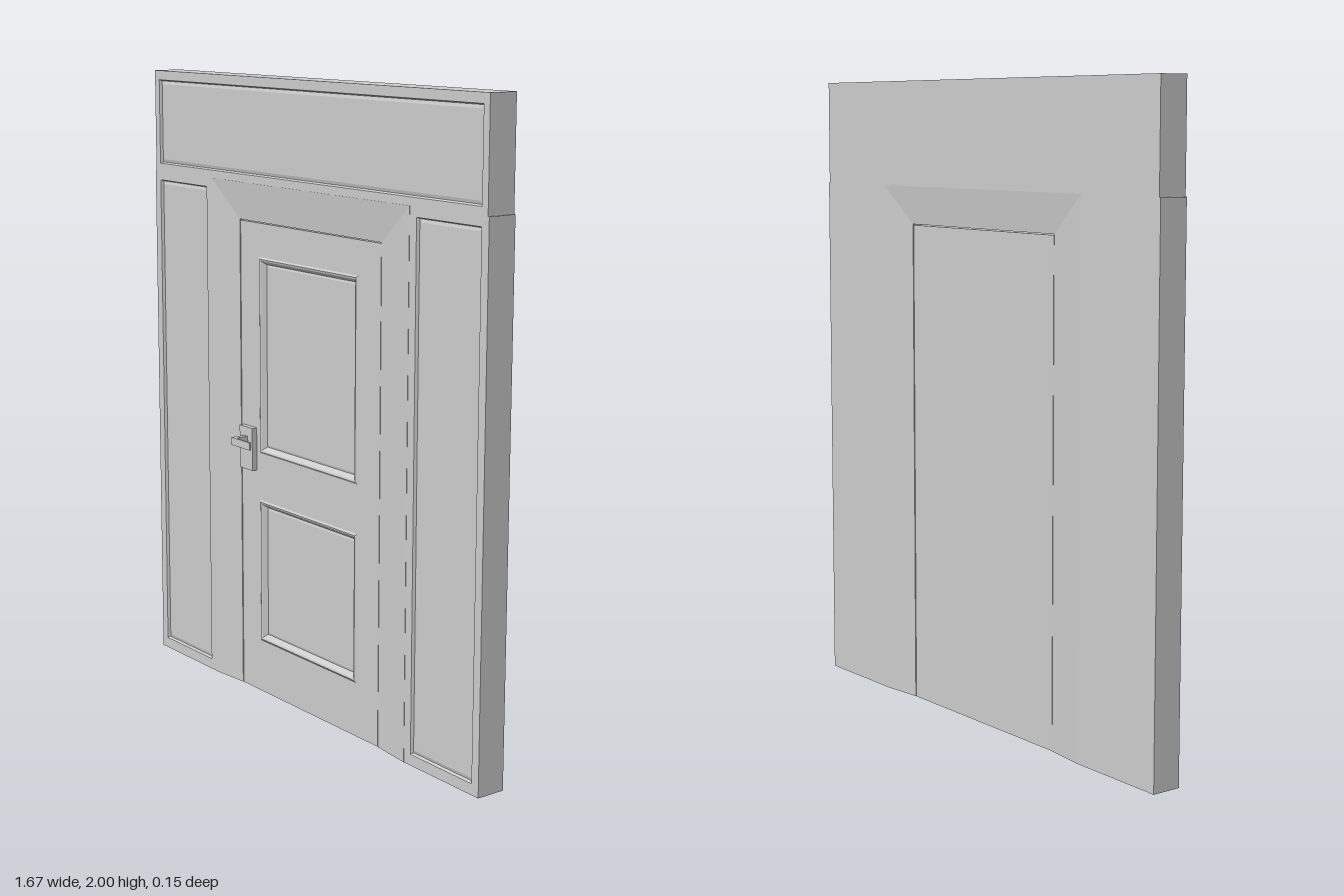
import * as THREE from 'three';

const material = new THREE.MeshStandardMaterial({ color: 0xcccccc, flatShading: true });
const FRONT = 0.02, BACK = -0.075;

function addMesh(parent, name, geometry) {
  const mesh = new THREE.Mesh(geometry, material);
  mesh.name = name;
  parent.add(mesh);
  return mesh;
}

function addBox(parent, name, [x0, x1], [y0, y1], [z0, z1]) {
  const mesh = addMesh(parent, name, new THREE.BoxGeometry(x1 - x0, y1 - y0, z1 - z0));
  mesh.position.set((x0 + x1) / 2, (y0 + y1) / 2, (z0 + z1) / 2);
  return mesh;
}

// Flat-shaded surface joining rows of points, each row a closed loop, plus extra quads as caps
function loft(rows, caps) {
  const points = [];
  const quad = (a, b, c, d) => points.push(...a, ...b, ...c, ...a, ...c, ...d);
  for (let i = 0; i + 1 < rows.length; i++) {
    const n = rows[i].length;
    for (let j = 0; j < n; j++) {
      const k = (j + 1) % n;
      quad(rows[i][j], rows[i][k], rows[i + 1][k], rows[i + 1][j]);
    }
  }
  caps.forEach((cap) => quad(...cap));
  const geometry = new THREE.BufferGeometry();
  geometry.setAttribute('position', new THREE.Float32BufferAttribute(points, 3));
  geometry.computeVertexNormals();
  return geometry;
}

const rectangle = ([x0, x1], [y0, y1], inset, z) => [
  [x0 + inset, y0 + inset, z], [x1 - inset, y0 + inset, z],
  [x1 - inset, y1 - inset, z], [x0 + inset, y1 - inset, z],
];

// Slab with moulded panels set into its front; profile = [inset, depth] steps
function addPanelledSlab(parent, name, xs, ys, [zBack, zFront], panels, profile) {
  const group = new THREE.Group();
  group.name = name;
  parent.add(group);
  const depth = Math.max(...profile.map((p) => p[1])) + 0.002;
  addBox(group, name + 'Core', xs, ys, [zBack, zFront - depth]);

  const toPoints = (r) => r.map(([x, y]) => new THREE.Vector2(x, y));
  const shape = new THREE.Shape(toPoints(rectangle(xs, ys, 0, 0)));
  panels.forEach(([px, py]) => shape.holes.push(new THREE.Path(toPoints(rectangle(px, py, 0, 0)))));
  const face = new THREE.ExtrudeGeometry(shape, { depth, bevelEnabled: false });
  face.translate(0, 0, zFront - depth);
  addMesh(group, name + 'Face', face);

  panels.forEach(([px, py]) => {
    const rows = profile.map(([inset, d]) => rectangle(px, py, inset, zFront - d));
    addMesh(group, name + 'Panel', loft(rows, [rows[rows.length - 1]]));
  });
  return group;
}

export function createModel() {
  const model = new THREE.Group();
  model.name = 'panelledDoorway';

  // Fixed panels above and beside the door
  const wallProfile = [[0, 0], [0.004, 0.009], [0.014, 0.006]];
  addPanelledSlab(model, 'upperWall', [-0.83, 0.83], [1.67, 2], [BACK, FRONT],
    [[[-0.805, 0.805], [1.695, 1.97]]], wallProfile);
  for (const side of [-1, 1]) {
    const span = (a, b) => (side > 0 ? [a, b] : [-b, -a]);
    addPanelledSlab(model, side > 0 ? 'leftWall' : 'rightWall', span(0.5, 0.835), [0, 1.67],
      [BACK, FRONT], [[span(0.53, 0.805), [0.035, 1.64]]], wallProfile);
  }

  // Splayed surround: outer edge to inner edge on both faces, mitred at the corners
  const stations = [[-1, 0], [-1, 1], [1, 1], [1, 0]].map(([side, top]) => {
    const outer = (z) => [side * 0.5, top * 1.67, z];
    const inner = (z) => [side * 0.36, top * 1.55, z];
    return [outer(FRONT + 0.001), inner(0.008), inner(-0.061), outer(BACK)];
  });
  addMesh(model, 'splayedSurround', loft(stations, [[...stations[0]].reverse(), stations[3]]));

  // Door leaf with two moulded panels
  const door = new THREE.Group();
  door.name = 'door';
  model.add(door);
  addPanelledSlab(door, 'doorLeaf', [-0.357, 0.357], [0, 1.547], [-0.06, 0.007],
    [[[-0.255, 0.25], [0.805, 1.44]], [[-0.255, 0.25], [0.175, 0.65]]],
    [[0, 0], [0.006, -0.004], [0.012, -0.002], [0.023, 0.012], [0.03, 0.01]]);

  // Door handle
  const handle = new THREE.Group();
  handle.name = 'handle';
  door.add(handle);
  addBox(handle, 'backPlate', [-0.345, -0.275], [0.745, 0.885], [0.006, 0.025]);
  addBox(handle, 'stem', [-0.32, -0.3], [0.83, 0.855], [0.025, 0.068]);
  addBox(handle, 'lever', [-0.32, -0.22], [0.83, 0.855], [0.068, 0.075]);

  return model;
}
